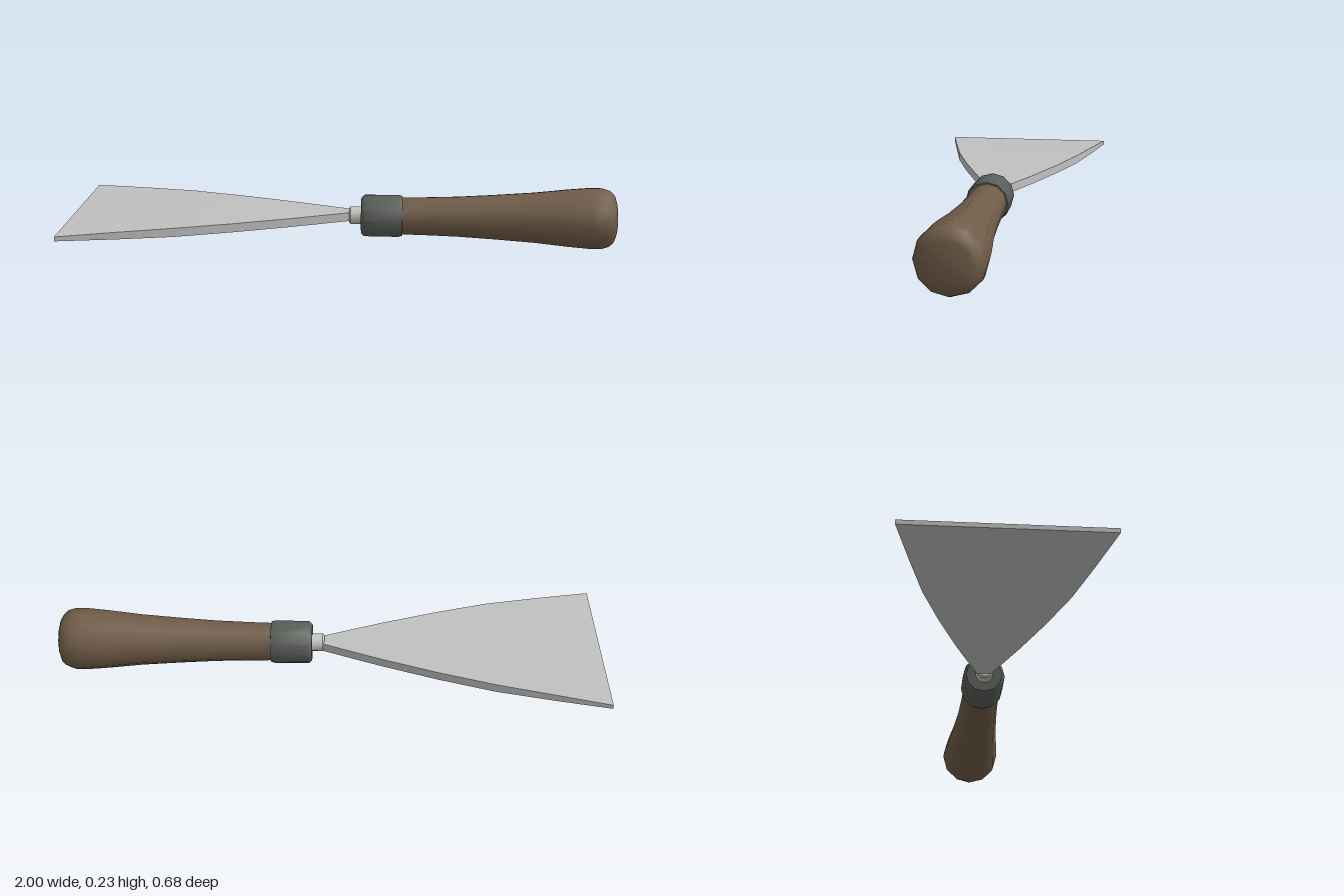
import * as THREE from 'three';
import { toCreasedNormals } from 'three/addons/utils/BufferGeometryUtils.js';

const AXIS_Y = 0.117;
const AXIS_Z = 0.005;

const steel = new THREE.MeshStandardMaterial({ color: 0xc0c0c0 });
steel.name = 'bladeSteel';
const tang = new THREE.MeshStandardMaterial({ color: 0xc6c6c0 });
tang.name = 'neckSteel';
const iron = new THREE.MeshStandardMaterial({ color: 0x5a5e59 });
iron.name = 'ferruleGrey';
const wood = new THREE.MeshStandardMaterial({ color: 0x705c48 });
wood.name = 'handleWood';

// Twelve-sided part turned around the long axis; profile rows are [x, radius]
function turned(name, profile, material) {
  const points = profile.map(([x, r]) => new THREE.Vector2(r, x));
  const geometry = toCreasedNormals(new THREE.LatheGeometry(points, 12).rotateZ(-Math.PI / 2), 0.75);
  const mesh = new THREE.Mesh(geometry, material);
  mesh.name = name;
  mesh.position.set(0, AXIS_Y, AXIS_Z);
  return mesh;
}

// Fanned blade: a box reshaped station by station, [x, half width, half thickness]
function makeBlade() {
  const stations = [
    [-1, 0.338, 0.008], [-0.8, 0.293, 0.013], [-0.6, 0.246, 0.016], [-0.4, 0.184, 0.016],
    [-0.2, 0.113, 0.016], [-0.08, 0.066, 0.016], [0.035, 0.02, 0.016],
  ];
  const n = stations.length - 1;
  const box = new THREE.BoxGeometry(1, 1, 1, n, 1, 1);
  const pos = box.attributes.position;
  for (let i = 0; i < pos.count; i++) {
    const [x, w, t] = stations[Math.round((pos.getX(i) + 0.5) * n)];
    pos.setXYZ(i, x, AXIS_Y + Math.sign(pos.getY(i)) * t, Math.sign(pos.getZ(i)) * w);
  }
  const mesh = new THREE.Mesh(toCreasedNormals(box, 0.5), steel);
  mesh.name = 'blade';
  return mesh;
}

export function createModel() {
  const group = new THREE.Group();
  group.name = 'scraper';
  group.add(
    makeBlade(),
    turned('neck', [[0.018, 0], [0.018, 0.027], [0.024, 0.033], [0.07, 0.033]], tang),
    turned('ferrule', [
      [0.063, 0], [0.063, 0.068], [0.075, 0.079], [0.2, 0.08], [0.215, 0.076], [0.217, 0.06],
    ], iron),
    turned('handle', [
      [0.2, 0.07], [0.3, 0.072], [0.42, 0.076], [0.55, 0.084], [0.7, 0.095], [0.82, 0.108],
      [0.9, 0.115], [0.945, 0.115], [0.973, 0.106], [0.99, 0.09], [0.996, 0.075], [1, 0],
    ], wood),
  );
  return group;
}
